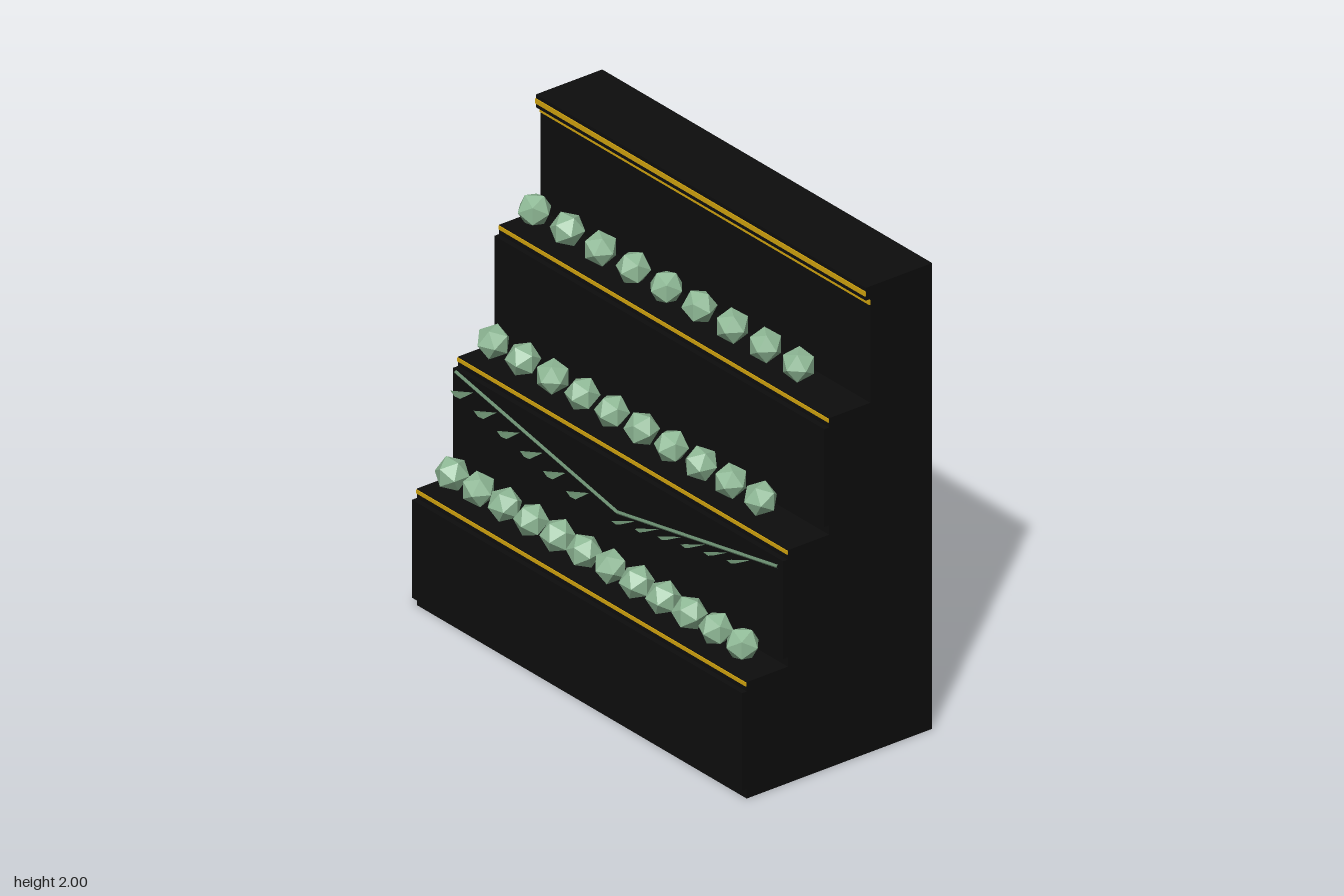
import * as THREE from 'three';

export function createModel() {
  const model = new THREE.Group();
  const mat = (name, color, flat = false) => {
    const m = new THREE.MeshStandardMaterial({ color, flatShading: flat });
    m.name = name;
    return m;
  };
  const black = mat('black', 0x0d0d0d);
  const gold = mat('gold', 0xd4a60f);
  const sage = mat('sage green', 0x8fb996, true);
  const leafGreen = mat('leaf green', 0x6b8f71, true);

  let seed = 7;
  const rand = () => (seed = (seed * 16807) % 2147483647) / 2147483647;

  const add = (name, geometry, material, parent = model) => {
    const mesh = new THREE.Mesh(geometry, material);
    mesh.name = name;
    parent.add(mesh);
    return mesh;
  };
  // full-width bar given by its y and z limits
  const bar = (name, y0, y1, z0, z1, material) =>
    add(name, new THREE.BoxGeometry(2, y1 - y0, z1 - z0), material)
      .position.set(0, (y0 + y1) / 2, (z0 + z1) / 2);

  // stepped tiers, each set back from the one below, with raised fronts
  const BACK = -0.46;
  [0.44, 0.24, 0.04, -0.16].forEach((front, i) => {
    const y = i * 0.5;
    bar('tier', y, y + 0.5, BACK, front, black);
    if (i < 3) {
      bar('frontPanel', y + 0.04, y + 0.46, front, front + 0.024, black);
      bar('goldTrim', y + 0.481, y + 0.497, front, front + 0.004, gold);
    }
  });

  // cornice with two gold lines
  bar('cornice', 1.945, 2, -0.16, -0.138, black);
  bar('corniceTrim', 1.963, 1.984, -0.138, -0.134, gold);
  bar('lowerTrim', 1.92, 1.941, -0.16, -0.155, gold);

  // rows of faceted balls over the steps
  const ballGeometry = new THREE.IcosahedronGeometry(0.07, 0);
  [[12, 0.16, 0.59, 0.365], [10, 0.18, 1.09, 0.165], [9, 0.2, 1.59, -0.035]]
    .forEach(([count, step, y, z]) => {
      const row = new THREE.Group();
      row.name = 'ballRow';
      model.add(row);
      for (let i = 0; i < count; i++) {
        const ball = add('ball', ballGeometry, sage, row);
        ball.position.set(-0.88 + i * step, y, z);
        ball.rotation.y = rand() * Math.PI * 2;
      }
    });

  // garland: two straight vines meeting in a V
  const garland = new THREE.Group();
  garland.name = 'garland';
  model.add(garland);
  const low = new THREE.Vector3(0, 0.757, 0.268);
  const ends = [new THREE.Vector3(-0.98, 0.953, 0.268), new THREE.Vector3(0.975, 0.928, 0.268)];

  // flattened pointed leaf lying along z, tip to the back
  const leafGeometry = new THREE.ConeGeometry(0.03, 0.095, 4);
  leafGeometry.scale(1, 1, 0.25);
  leafGeometry.rotateX(-Math.PI / 2 - 0.25);

  for (const end of ends) {
    add('vine', new THREE.TubeGeometry(new THREE.LineCurve3(low, end), 1, 0.007, 6), leafGreen, garland);
    const slope = Math.atan((end.y - low.y) / end.x);
    for (let i = 1; i <= 6; i++) {
      const leaf = add('leaf', leafGeometry, leafGreen, garland);
      leaf.position.lerpVectors(low, end, i * 0.143);
      leaf.position.y += 0.014;
      leaf.position.z = 0.337;
      leaf.rotation.z = slope;
    }
  }
  return model;
}
